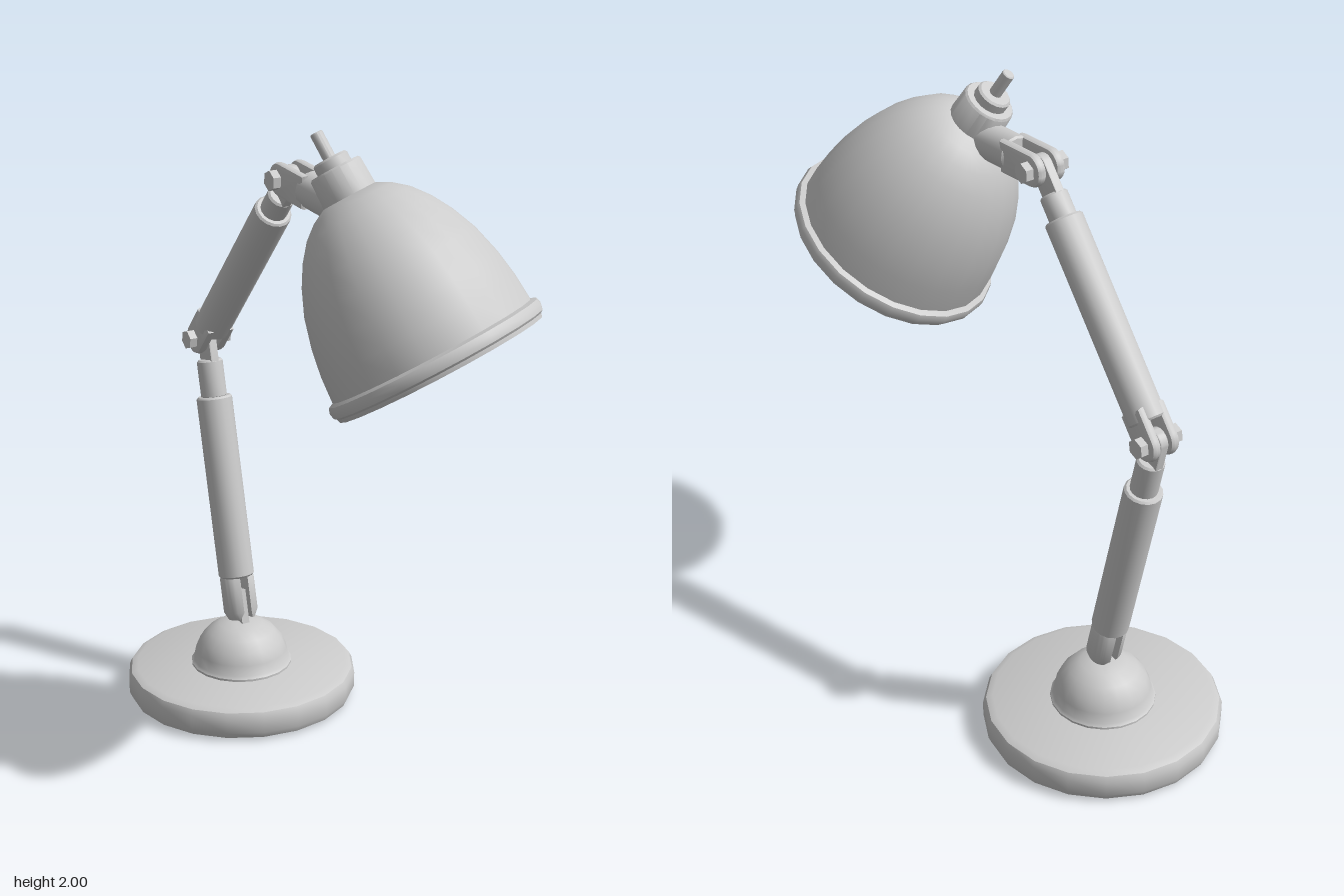
import * as THREE from 'three';
import { toCreasedNormals } from 'three/addons/utils/BufferGeometryUtils.js';

const material = new THREE.MeshStandardMaterial({ color: 0xcccccc });
const X = -0.055; // the base, arms and joints share this plane

function part(name, geometry, parent, x = 0, y = 0, z = 0) {
  const mesh = new THREE.Mesh(toCreasedNormals(geometry, 0.65), material);
  mesh.name = name;
  mesh.position.set(x, y, z);
  parent.add(mesh);
  return mesh;
}

function lathe(points, segments = 20) {
  return new THREE.LatheGeometry(points.map(([r, y]) => new THREE.Vector2(r, y)), segments);
}

// Rod along local y with slightly chamfered ends
function rod(r, y0, y1, c = 0.006) {
  return lathe([[0, y0], [r - c, y0], [r, y0 + c], [r, y1 - c], [r - c, y1], [0, y1]], 16);
}

// Flat link in the local yz plane with a round end at y = 0, running to y = length
function link(r, length, thickness, bevel) {
  const s = new THREE.Shape();
  const q = r - bevel;
  s.moveTo(q, length);
  s.lineTo(q, 0);
  s.absarc(0, 0, q, 0, Math.PI, true);
  s.lineTo(-q, length);
  s.closePath();
  const g = new THREE.ExtrudeGeometry(s, {
    depth: thickness - 2 * bevel, bevelThickness: bevel, bevelSize: bevel, bevelSegments: 2, curveSegments: 8,
  });
  return g.translate(0, 0, bevel - thickness / 2).rotateY(Math.PI / 2);
}

// Group whose local y runs from one yz point to another
function limb(name, parent, [y0, z0], [y1, z1]) {
  const g = new THREE.Group();
  g.name = name;
  g.position.set(X, y0, z0);
  g.rotation.x = Math.atan2(z1 - z0, y1 - y0);
  parent.add(g);
  return g;
}

// Two rounded prongs around the pivot at the limb's origin
function fork(parent, length) {
  for (const s of [-1, 1]) part('forkProng', link(0.05, length, 0.032, 0.012), parent, s * 0.033, 0, 0);
}

// Pivot pin with a hexagonal head at each side
function bolt(parent, y) {
  part('pivotPin', new THREE.CylinderGeometry(0.016, 0.016, 0.13, 12).rotateZ(Math.PI / 2), parent, 0, y, 0);
  for (const s of [-1, 1]) {
    part('boltHead', new THREE.CylinderGeometry(0.031, 0.031, 0.026, 6).rotateZ(Math.PI / 2), parent, s * 0.061, y, 0);
  }
}

export function createModel() {
  const lamp = new THREE.Group();
  lamp.name = 'deskLamp';
  const foot = [0.26, -0.413], elbow = [1.175, -0.625], wrist = [1.81, -0.08], headEnd = [1.788, 0.21];

  // Base disc and dome
  part('baseDisc', lathe([[0, 0], [0.345, 0], [0.366, 0.01], [0.375, 0.03], [0.375, 0.078], [0.366, 0.097],
    [0.345, 0.107], [0, 0.107]]), lamp, X, 0, -0.42);
  part('baseDome', lathe([[0.165, 0.1], [0.165, 0.114], [0.157, 0.122], [0.15, 0.155], [0.135, 0.19], [0.108, 0.222],
    [0.072, 0.245], [0.035, 0.254], [0, 0.256]]), lamp, X, 0, -0.42);

  // Lower arm
  const lower = limb('lowerArm', lamp, foot, elbow);
  part('lowerTube', rod(0.058, 0.145, 0.745), lower);
  part('lowerNeck', rod(0.042, 0.74, 0.865), lower);
  part('elbowTongue', link(0.04, 0.1, 0.03, 0.005).rotateZ(Math.PI), lower, 0, 0.939, 0);
  part('footTongue', new THREE.BoxGeometry(0.026, 0.13, 0.05), lower, 0, 0.035, 0);
  // Split socket at the foot: two circular segments with tapered tips
  const a = Math.acos(0.017 / 0.038);
  const half = new THREE.Shape();
  half.absarc(0, 0, 0.04, -a, a, false);
  half.closePath();
  for (const s of [0, Math.PI]) {
    const g = new THREE.ExtrudeGeometry(half, {
      depth: 0.11, bevelThickness: 0.025, bevelSize: 0.012, bevelSegments: 1, curveSegments: 8,
    });
    part('footProng', g.rotateX(-Math.PI / 2).rotateY(s), lower, s ? -0.004 : 0.004, 0.03, 0);
  }

  // Upper arm
  const upper = limb('upperArm', lamp, elbow, wrist);
  fork(upper, 0.09);
  bolt(upper, 0);
  part('upperTube', rod(0.058, 0.06, 0.68), upper);
  part('upperNeck', rod(0.042, 0.675, 0.755), upper);
  part('wristTongue', link(0.04, 0.1, 0.03, 0.005).rotateZ(Math.PI), upper, 0, 0.837, 0);

  // Head stem
  const head = limb('headStem', lamp, wrist, headEnd);
  fork(head, 0.13);
  bolt(head, 0);
  part('stemCylinder', rod(0.056, 0.115, 0.29), head);

  // Shade, hung from its tip with local y pointing up its axis
  const shade = new THREE.Group();
  shade.name = 'shade';
  shade.position.set(-0.11, 1.995, 0.155);
  shade.quaternion.setFromUnitVectors(new THREE.Vector3(0, 1, 0), new THREE.Vector3(-0.281, 0.849, -0.448).normalize());
  lamp.add(shade);
  part('finial', rod(0.019, -0.1, 0, 0.003), shade);
  part('cap', rod(0.053, -0.13, -0.08), shade);
  part('collar', lathe([[0.083, -0.215], [0.079, -0.118], [0.074, -0.112], [0, -0.112]]), shade);
  const outer = [[0.083, -0.2], [0.125, -0.222], [0.165, -0.255], [0.205, -0.305], [0.24, -0.365], [0.272, -0.44],
    [0.296, -0.53], [0.309, -0.61], [0.315, -0.69]];
  const inner = outer.map(([r, y]) => [r - 0.012, y - 0.01]);
  part('shadeShell', lathe([[0, -0.21], ...inner, [0.305, -0.748], [0.322, -0.748], [0.325, -0.736], [0.333, -0.73],
    [0.336, -0.712], [0.331, -0.697], [0.315, -0.69], ...outer.slice(0, -1).reverse(), [0, -0.2]], 22), shade);

  return lamp;
}
